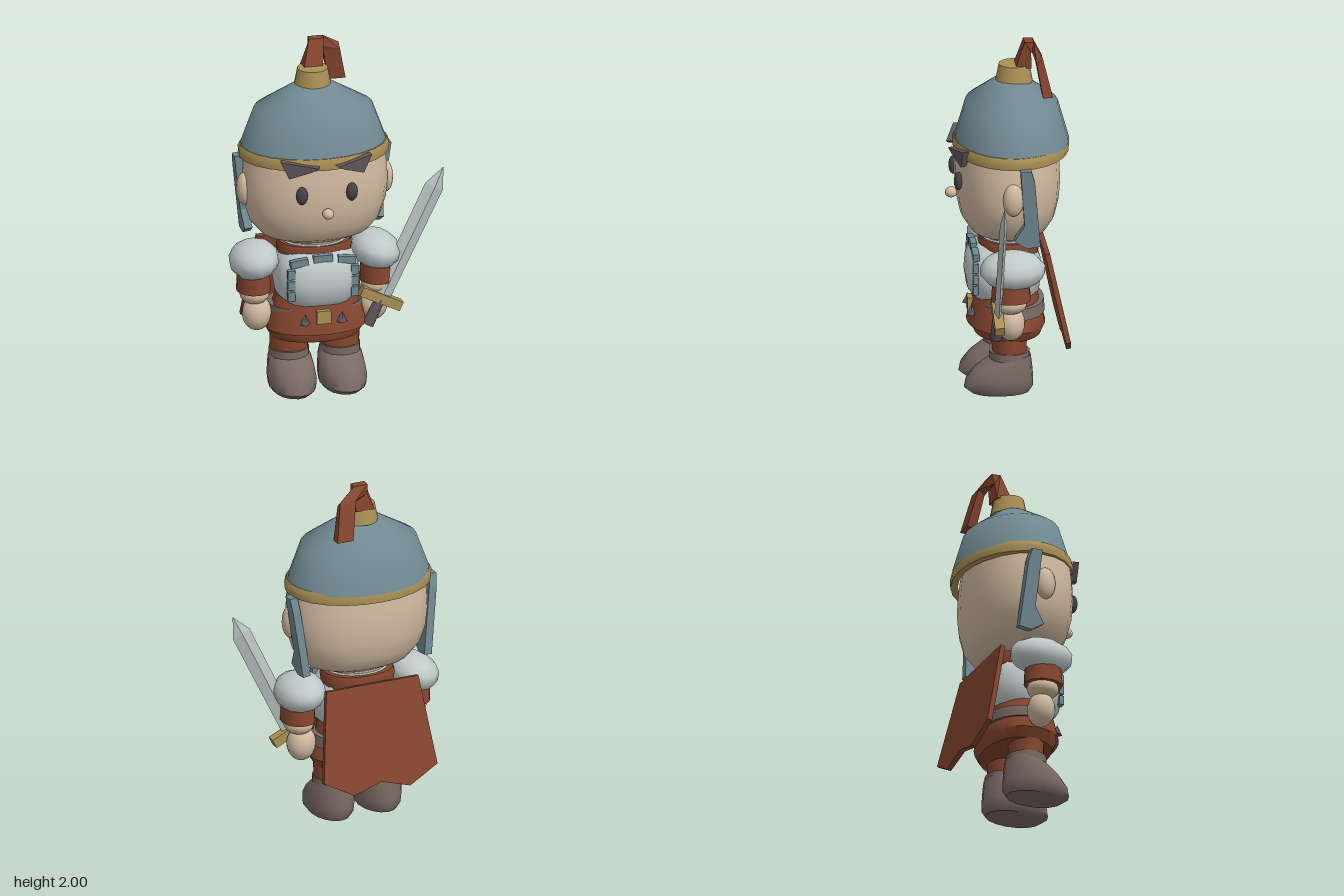
import * as THREE from 'three';
import { toCreasedNormals } from 'three/addons/utils/BufferGeometryUtils.js';

const mat = (name, color) => {
  const m = new THREE.MeshStandardMaterial({ color });
  m.name = name;
  return m;
};

export function createModel() {
  const skin = mat('skin', 0xd2bba1), red = mat('red cloth', 0x86462f), steel = mat('blue steel', 0x718992);
  const gold = mat('brass', 0xaa9055), pale = mat('pale armour', 0xc0cac9), brown = mat('boot leather', 0x7b6a64);
  const dark = mat('eye black', 0x45424a), brow = mat('brow grey', 0x62575b), blade = mat('blade', 0xbac4c2);
  red.side = THREE.DoubleSide;

  const model = new THREE.Group();
  const body = new THREE.Group();
  body.name = 'soldier';
  body.position.x = -0.11;
  model.add(body);

  const add = (name, geo, material, x = 0, y = 0, z = 0, parent = body) => {
    const mesh = new THREE.Mesh(geo, material);
    mesh.name = name;
    mesh.position.set(x, y, z);
    parent.add(mesh);
    return mesh;
  };

  // Lathe squashed in z, with a superelliptic outline of power n
  const oval = (profile, zScale, n = 2, start = 0, length = Math.PI * 2, crease = 1) => {
    const geo = new THREE.LatheGeometry(profile.map(p => new THREE.Vector2(...p)), 24, start, length);
    const p = geo.attributes.position;
    for (let i = 0; i < p.count; i++) {
      const x = p.getX(i), z = p.getZ(i), r = Math.hypot(x, z);
      if (r < 1e-6) continue;
      const k = 1 / Math.pow(Math.abs(x / r) ** n + Math.abs(z / r) ** n, 1 / n);
      p.setX(i, x * k);
      p.setZ(i, z * k * zScale);
    }
    return toCreasedNormals(geo, crease);
  };

  // Closed solid through equal-sized rings of points
  const loft = (rings, crease) => {
    const n = rings[0].length, last = (rings.length - 1) * n, index = [];
    for (let j = 0; j < rings.length - 1; j++)
      for (let i = 0; i < n; i++) {
        const a = j * n + i, b = j * n + (i + 1) % n;
        index.push(a, b, b + n, a, b + n, a + n);
      }
    for (let i = 1; i < n - 1; i++) index.push(0, i + 1, i, last, last + i, last + i + 1);
    const geo = new THREE.BufferGeometry();
    geo.setAttribute('position', new THREE.Float32BufferAttribute(rings.flat(2), 3));
    geo.setIndex(index);
    return toCreasedNormals(geo, crease);
  };

  const plate = (pts, depth) => {
    const shape = new THREE.Shape(pts.map(p => new THREE.Vector2(...p)));
    return new THREE.ExtrudeGeometry(shape, { depth, bevelEnabled: false }).translate(0, 0, -depth / 2);
  };

  const ball = (rx, ry, rz, w = 16, h = 12) => new THREE.SphereGeometry(1, w, h).scale(rx, ry, rz);

  // Head and face
  add('head', oval([[0, 0.88], [0.2, 0.885], [0.3, 0.925], [0.365, 1.0], [0.397, 1.1], [0.408, 1.2],
    [0.403, 1.3], [0.385, 1.42]], 0.71, 2.2), skin);
  add('nose', ball(0.032, 0.03, 0.035), skin, 0, 1.117, 0.31);
  add('neck', new THREE.CylinderGeometry(0.165, 0.175, 0.12, 20).scale(1, 1, 0.8), skin, 0, 0.85, 0);

  // Helmet
  add('helmetDome', oval([[0.412, 1.42], [0.333, 1.635], [0.116, 1.765], [0, 1.785]], 0.77), steel, 0, 0, -0.025);
  add('helmetRim', oval([[0.37, 1.37], [0.42, 1.37], [0.424, 1.41], [0.412, 1.435], [0.37, 1.435]], 0.76, 2, 0,
    Math.PI * 2, 0.6), gold, 0, 0, -0.02);
  add('plumeHolder', new THREE.CylinderGeometry(0.085, 0.104, 0.1, 16), gold, 0, 1.805, -0.038);

  // Plume: x centre, half width, then y and z of its outer and inner faces
  const plumeRows = [[0.005, 0.055, 1.84, -0.04, 1.84, -0.13], [0.035, 0.042, 2.0, -0.09, 1.94, -0.125],
    [0.04, 0.042, 2.0, -0.14, 1.94, -0.13], [0.135, 0.048, 1.935, -0.18, 1.905, -0.145],
    [0.175, 0.048, 1.72, -0.232, 1.72, -0.177]];
  add('plume', loft(plumeRows.map(([x, h, yo, zo, yi, zi]) =>
    [[x + h, yo, zo], [x + h, yi, zi], [x - h, yi, zi], [x - h, yo, zo]]), 0.1), red);

  // Torso, collar and waist
  add('breastplate', oval([[0, 0.51], [0.17, 0.52], [0.22, 0.57], [0.235, 0.66], [0.228, 0.74], [0.2, 0.8],
    [0.15, 0.83]], 0.9, 3), pale, 0, 0, 0.025);
  add('collar', oval([[0.2, 0.78], [0.21, 0.83], [0.2, 0.865], [0.16, 0.865]], 0.8, 2.3), red, 0, 0, -0.01);
  add('necklace', new THREE.TorusGeometry(0.172, 0.008, 6, 24).rotateX(Math.PI / 2).scale(1, 1, 0.82), pale,
    0, 0.866, -0.002);
  add('tunicSkirt', oval([[0, 0.315], [0.25, 0.315], [0.282, 0.37], [0.262, 0.43], [0.235, 0.5], [0.215, 0.58]],
    0.74, 2.2, 0, Math.PI * 2, 0.8), red);
  add('belt', oval([[0.2, 0.44], [0.268, 0.44], [0.262, 0.505], [0.2, 0.505]], 0.75, 2.2, 0, Math.PI * 2, 0.6),
    brown, 0, 0, -0.005);
  add('apron', oval([[0.287, 0.37], [0.262, 0.47], [0.218, 0.585]], 0.78, 2.2, -1.35, 2.7), red);
  add('buckle', new THREE.BoxGeometry(0.08, 0.075, 0.03), gold, 0, 0.472, 0.208);

  // Chest trim
  for (const [x, w, tilt] of [[-0.135, 0.1, 0.12], [0, 0.11, 0], [0.135, 0.1, -0.12]])
    add('topTrim', new THREE.BoxGeometry(w, 0.04, 0.035), steel, x, x ? 0.795 : 0.812, 0.19).rotation.z = tilt;

  // Cape with a jagged hem
  const hem = [[-0.28, 0], [-0.345, -0.51], [-0.17, -0.605], [0, -0.555], [0.17, -0.605], [0.345, -0.51], [0.28, 0]];
  add('cape', plate(hem, 0.028), red, 0, 0.83, -0.195).rotation.x = 0.215;

  // Boot outline: y, back z, front z, half width
  const bootRows = [[0, -0.11, 0.215, 0.105], [0.03, -0.13, 0.255, 0.128], [0.08, -0.13, 0.245, 0.135],
    [0.135, -0.125, 0.2, 0.13], [0.18, -0.12, 0.14, 0.122], [0.215, -0.115, 0.09, 0.108]];
  const bootGeo = loft(bootRows.map(([y, back, front, h]) => Array.from({ length: 16 }, (_, i) => {
    const a = i / 16 * Math.PI * 2;
    return [Math.sin(a) * h, y, (front + back) / 2 + Math.cos(a) * (front - back) / 2];
  })), 0.9);

  for (const s of [-1, 1]) {
    const side = new THREE.Group();
    side.name = s > 0 ? 'leftSide' : 'rightSide';
    body.add(side);
    const put = (name, geo, m, x, y, z) => add(name, geo, m, s * x, y, z, side);

    // Face details
    put('ear', ball(0.045, 0.093, 0.058), skin, 0.4, 1.193, 0.006);
    put('eye', ball(0.033, 0.052, 0.025), dark, 0.142, 1.228, 0.285);
    const b = put('eyebrow', plate([[0.11, 0.05], [-0.105, 0.02], [-0.06, -0.005], [0.06, -0.05]]
      .map(([x, y]) => [s * x, y]), 0.035), brow, 0.15, 1.38, 0.283);
    b.rotation.set(0.08, s * 0.3, 0);
    const guard = put('cheekGuard', plate([[0.03, 0.24], [0.09, 0.24], [0.11, 0.17], [0.145, -0.22], [0.07, -0.23],
      [0, -0.185], [0.055, -0.09]], 0.045).rotateY(Math.PI / 2), steel, 0.395, 1.135, 0);
    guard.rotation.z = -s * 0.12;

    // Arm
    const pad = put('shoulderPad', ball(0.14, 0.105, 0.185, 12, 7), pale, 0.345, 0.77, 0.005);
    pad.rotation.z = -s * 0.2;
    put('sleeve', new THREE.CylinderGeometry(0.09, 0.095, 0.12, 16).scale(1, 1, 1.15), red, 0.35, 0.655, 0.015);
    put('forearm', ball(0.083, 0.06, 0.09), skin, 0.345, 0.575, 0.015);
    put('hand', ball(0.083, 0.1, 0.077), skin, 0.33, 0.455, 0.012);

    // Leg
    put('leg', new THREE.CylinderGeometry(0.11, 0.106, 0.14, 18).scale(1, 1, 0.9), red, 0.145, 0.29, 0.003);
    put('bootCuff', new THREE.CylinderGeometry(0.112, 0.112, 0.045, 18), brown, 0.145, 0.217, 0.003);
    put('boot', bootGeo, brown, 0.143, 0, 0);

    // Belt studs and side trim
    put('beltStud', new THREE.ConeGeometry(0.03, 0.06, 4), brow, 0.105, 0.465, 0.208);
    for (let i = 0; i < 3; i++)
      put('sideTrim', new THREE.BoxGeometry(0.042, 0.052, 0.03), steel, 0.18, 0.605 + i * 0.063, 0.193);
  }

  // Sword held in the left hand
  const sword = new THREE.Group();
  sword.name = 'sword';
  sword.position.set(0.355, 0.505, 0.088);
  sword.rotation.z = -0.449;
  body.add(sword);
  const diamond = (y, w, t) => [[0, y, t], [w, y, 0], [0, y, -t], [-w, y, 0]];
  add('blade', loft([diamond(0, 0.052, 0.02), diamond(0.7, 0.056, 0.02), diamond(0.82, 0.001, 0.001)], 0.1),
    blade, 0, 0, 0, sword);
  add('guard', new THREE.BoxGeometry(0.25, 0.055, 0.055), gold, 0, 0, 0, sword);
  add('grip', new THREE.CylinderGeometry(0.03, 0.034, 0.16, 8), brow, 0, -0.085, 0, sword);
  return model;
}
